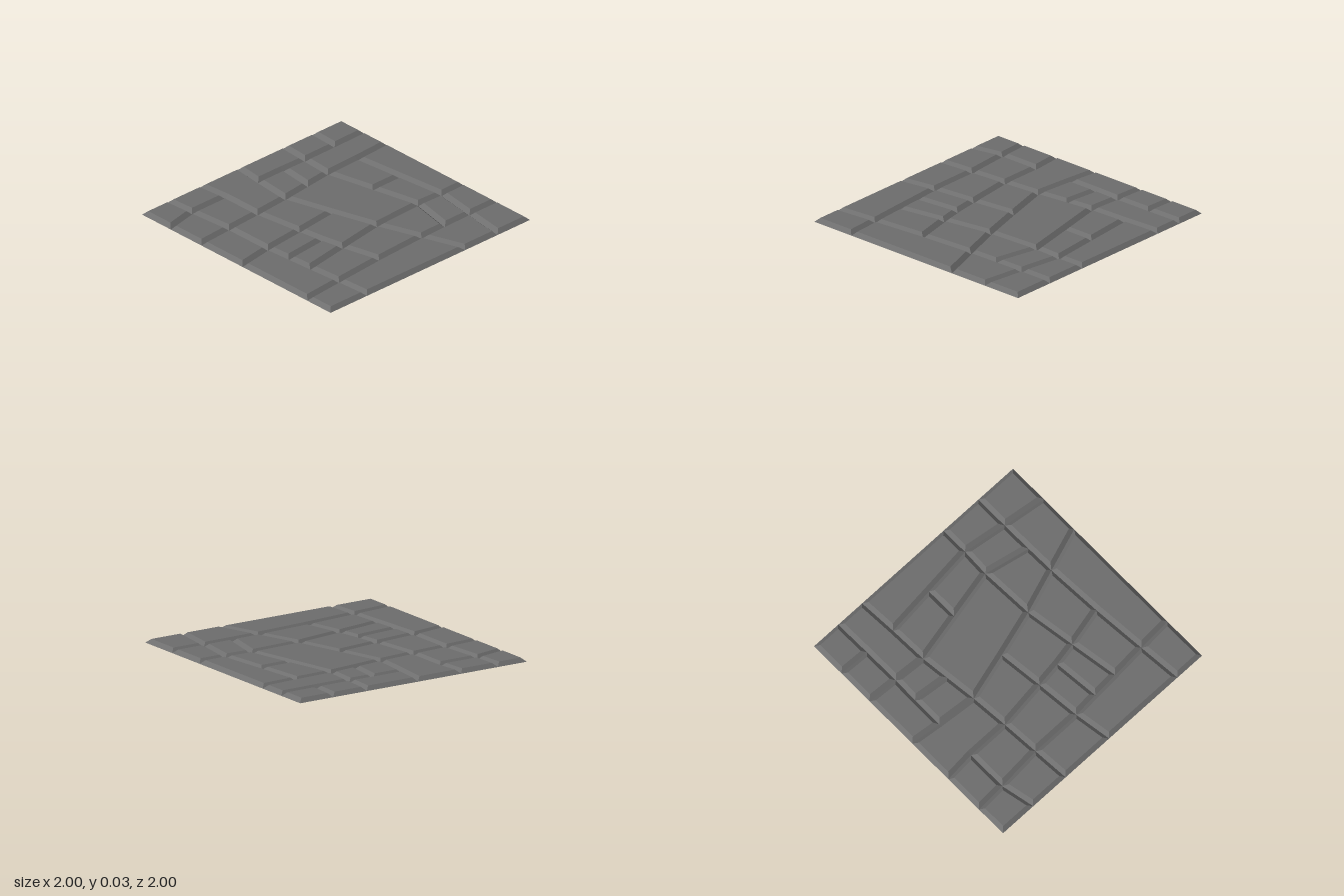
import * as THREE from 'three';

const HEIGHT = 0.03; // stone height
const BEVEL = 0.032; // how far the top is set in from the joint line

// Joint crossings [x, z], rows running back to front
const P = {
  NW: [-1, -1], T1: [-0.757, -1], T2: [-0.517, -1], T3: [0.3, -1], T4: [0.652, -1], NE: [1, -1],
  L1: [-1, -0.708], A1: [-0.752, -0.698], B1: [-0.5, -0.69], M1: [-0.1, -0.731], C1: [0.302, -0.773], D1: [0.652, -0.722], R1: [1, -0.675],
  L2: [-1, -0.412], A2: [-0.75, -0.397], B2: [-0.49, -0.38], M2: [-0.1, -0.464], C2: [0.293, -0.548], D2: [0.655, -0.472],
  A3: [-0.755, -0.188], B3: [-0.465, -0.157], C3: [0.312, -0.115], D3: [0.66, -0.235], R2: [1, -0.352],
  L3: [-1, 0.04], A4: [-0.755, 0.068], B4: [-0.435, 0.097], F0: [-0.055, -0.008],
  L4: [-1, 0.422], A5: [-0.752, 0.4], B5: [-0.41, 0.4], F1: [-0.015, 0.35], G1: [0.19, 0.322], H1: [0.375, 0.287], E1: [0.685, 0.215],
  L5: [-1, 0.747], A6: [-0.752, 0.732], B6: [-0.39, 0.703], F2: [0.02, 0.702], G2: [0.225, 0.688], H2: [0.438, 0.674], E2: [0.722, 0.653], R3: [1, 0.635],
  SW: [-1, 1], S1: [-0.695, 1], S2: [-0.37, 1], S3: [0.067, 1], S4: [0.753, 1], SE: [1, 1],
};

// Each stone is a loop of crossings, clockwise from above
const STONES = [
  'NW T1 A1 L1', 'T1 T2 B1 B2 A2 A1', 'T2 T3 C1 M1 B1', 'T3 T4 D1 C1', 'T4 NE R1 D1',
  'L1 A1 A2 L2', 'B1 M1 M2 B2', 'M1 C1 C2 M2', 'C1 D1 D2 C2', 'D1 R1 R2 D3 D2',
  'L2 A2 A3 A4 L3', 'A2 B2 B3 A3', 'A3 B3 B4 A4', 'B2 M2 C2 C3 F0 B4 B3', 'C2 D2 D3 C3',
  'L3 A4 B4 B5 A5 L4', 'B4 F0 F1 B5', 'F0 C3 H1 G1 F1', 'C3 D3 E1 H1', 'D3 R2 R3 E2 E1',
  'L4 A5 A6 L5', 'A5 B5 B6 A6', 'B5 F1 F2 B6', 'F1 G1 G2 F2', 'G1 H1 H2 G2', 'H1 E1 E2 H2',
  'L5 A6 S1 SW', 'A6 B6 S2 S1', 'B6 F2 S3 S2', 'F2 G2 H2 E2 S4 S3', 'E2 R3 SE S4',
];

// Move every edge of a clockwise loop inwards by d, with mitred corners
function inset(loop, d) {
  const n = loop.length;
  const normals = loop.map((p, i) => {
    const e = loop[(i + 1) % n].clone().sub(p).normalize();
    return new THREE.Vector2(-e.y, e.x);
  });
  return loop.map((p, i) => {
    const a = normals[(i + n - 1) % n], b = normals[i];
    return a.clone().add(b).multiplyScalar(d / (1 + a.dot(b))).add(p);
  });
}

// Open-bottomed stone: sloping sides up to a flat top
function stoneGeometry(loop) {
  const top = inset(loop, BEVEL), n = loop.length, pos = [];
  const put = (p, y) => pos.push(p.x, y, p.y);
  for (let i = 0; i < n; i++) {
    const j = (i + 1) % n;
    put(loop[i], 0); put(top[i], HEIGHT); put(top[j], HEIGHT);
    put(loop[i], 0); put(top[j], HEIGHT); put(loop[j], 0);
  }
  for (const [a, b, c] of THREE.ShapeUtils.triangulateShape(top, [])) {
    // Keep the top facing up
    const up = top[b].clone().sub(top[a]).cross(top[c].clone().sub(top[a])) < 0;
    for (const k of up ? [a, b, c] : [a, c, b]) put(top[k], HEIGHT);
  }
  const g = new THREE.BufferGeometry();
  g.setAttribute('position', new THREE.Float32BufferAttribute(pos, 3));
  g.computeVertexNormals();
  return g;
}

export function createModel() {
  const model = new THREE.Group();
  model.name = 'stoneFloor';
  const material = new THREE.MeshStandardMaterial({ color: 0x6e6e6e, flatShading: true, side: THREE.DoubleSide });
  STONES.forEach((names, i) => {
    const loop = names.split(' ').map((k) => new THREE.Vector2(...P[k]));
    const stone = new THREE.Mesh(stoneGeometry(loop), material);
    stone.name = `pavingStone${i + 1}`;
    model.add(stone);
  });
  return model;
}
